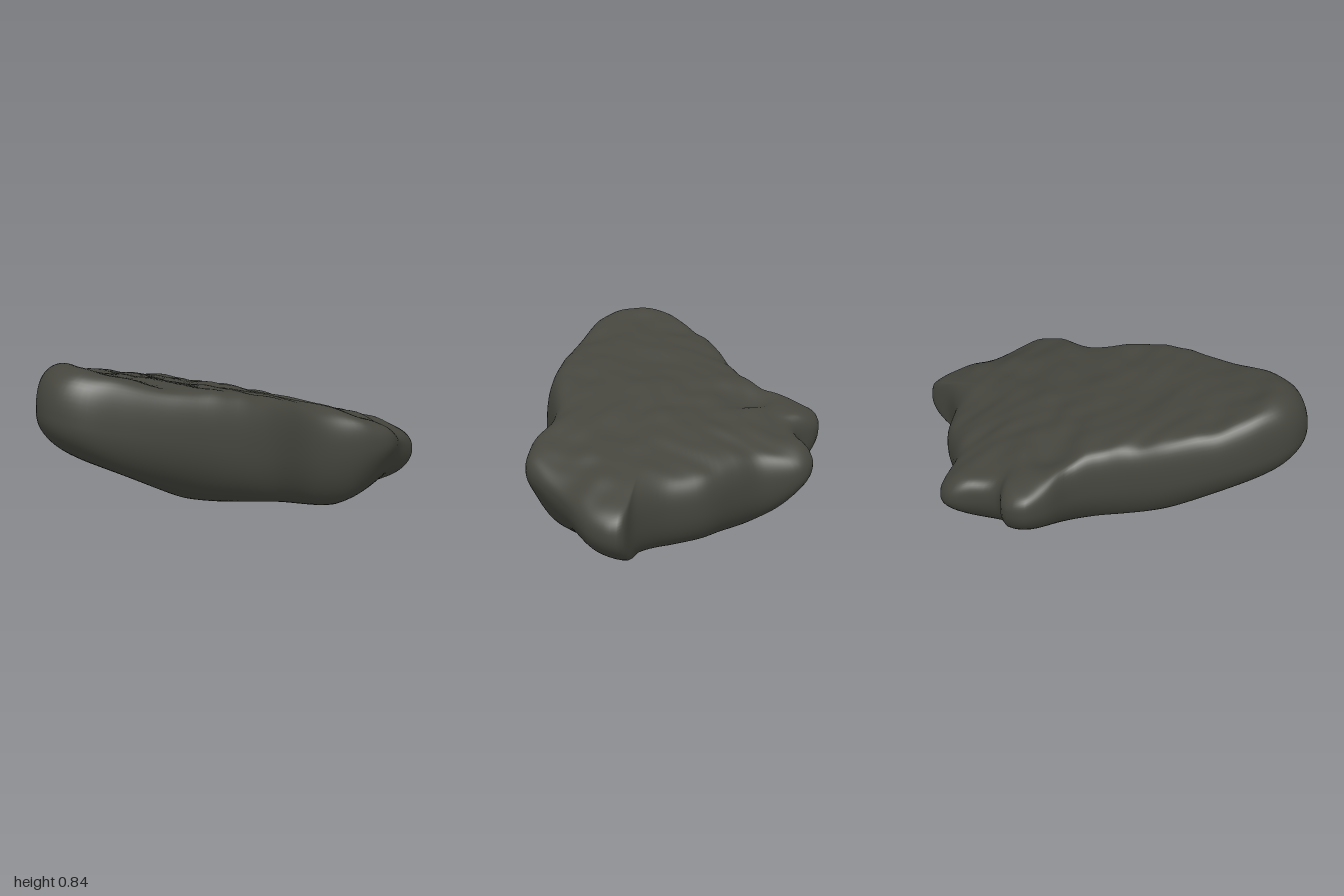
import * as THREE from 'three';

// Rim of the slab: x, height, z, running clockwise seen from above
const RIM = [
  [-1, .63, -.1], [-.95, .63, -.24], [-.8, .6, -.35], [-.6, .56, -.43], [-.4, .51, -.47],
  [-.1, .45, -.495], [.05, .44, -.57], [.15, .44, -.69], [.24, .45, -.745], [.34, .44, -.71],
  [.39, .40, -.59], [.5, .38, -.58], [.62, .36, -.585], [.69, .33, -.52], [.68, .28, -.3],
  [.72, .27, -.18], [.79, .25, -.02], [.81, .24, .2], [.88, .22, .34], [1, .21, .44],
  [.92, .23, .55], [.7, .31, .63], [.55, .36, .71], [.46, .38, .74], [.35, .38, .71],
  [.1, .38, .55], [-.2, .42, .51], [-.5, .5, .36], [-.8, .56, .17], [-.95, .6, .04],
];
// Height profiles: top along x, underside along x, underside rise along z
const TOP = [[-1, .85], [-.86, .84], [-.6, .765], [-.4, .73], [-.2, .68], [0, .64], [.3, .555], [.5, .49], [.8, .39], [1, .33]];
const KEEL = [[-1, .43], [-.9, .39], [-.38, .175], [-.13, .1], [.33, 0], [.67, .03], [.9, .02], [1, .03]];
const RISE = [[-.74, .29], [-.55, .2], [-.4, .1], [-.25, .04], [.14, 0], [.5, .05], [.62, .1], [.74, .26]];

// Smoothed piecewise interpolation through [position, height] pairs
function sample(knots, v) {
  const line = (u) => {
    let i = 0;
    while (i < knots.length - 2 && u > knots[i + 1][0]) i++;
    const [a, b] = [knots[i], knots[i + 1]];
    return THREE.MathUtils.lerp(a[1], b[1], THREE.MathUtils.clamp((u - a[0]) / (b[0] - a[0]), 0, 1));
  };
  return (line(v - .04) + 2 * line(v) + line(v + .04)) / 4;
}

const bump = (x, z, cx, cz, r) => Math.exp(-((x - cx) ** 2 + (z - cz) ** 2) / (r * r));

// Irregular weathering from crossed, bent waves
function weathering(x, z) {
  const u = x + .08 * Math.sin(6 * z + 1), v = z + .08 * Math.sin(7 * x + 2);
  return .008 * Math.sin(10 * u + 3 * v) * Math.sin(9 * v - 4 * u + 1)
    + .006 * Math.sin(21 * u - 6 * v) * Math.sin(13 * v + 5 * u)
    + .004 * Math.sin(31 * u + 11 * v) * Math.cos(23 * v - 8 * u);
}

// Worn top with a raised back corner, lowered front and gullies behind the lobes
function topHeight(x, z) {
  return sample(TOP, x) + weathering(x, z)
    + .03 * bump(x, z, -.82, -.27, .17)
    - .035 * THREE.MathUtils.smoothstep(z, .4, .65)
    - .03 * THREE.MathUtils.smoothstep(-z, .5, .72)
    - .045 * bump(x, z, .15, -.42, .12) - .03 * bump(x, z, .42, -.5, .1);
}

function underHeight(x, z) {
  return sample(KEEL, x) + sample(RISE, z) + .008 * Math.sin(7 * x + 5 * z) * Math.sin(6 * z - 3 * x);
}

export function createModel() {
  const group = new THREE.Group();
  const stone = new THREE.MeshStandardMaterial({ color: 0x45453e });
  stone.name = 'dark stone';

  const around = 180, rows = 72, cx = .2, cz = .03;
  const rim = new THREE.CatmullRomCurve3(RIM.map((p) => new THREE.Vector3(...p)), true).getSpacedPoints(around);
  const positions = [], index = [];

  // Rings run from the top centre out over the blunt rim and back under
  positions.push(cx, topHeight(cx, cz), cz);
  for (let i = 1; i < rows; i++) {
    const s = Math.sin(Math.PI * i / rows), upper = i < rows / 2;
    const fullness = Math.max(0, 1 - s ** (upper ? 17 : 9)) ** .45;
    for (let j = 0; j < around; j++) {
      const e = rim[j];
      const x = cx + (e.x - cx) * s, z = cz + (e.z - cz) * s;
      const face = upper ? topHeight(x, z) : underHeight(x, z);
      positions.push(x, e.y + (face - e.y) * fullness, z);
    }
  }
  positions.push(cx, underHeight(cx, cz), cz);

  const last = 1 + (rows - 1) * around;
  for (let j = 0; j < around; j++) {
    const k = (j + 1) % around;
    index.push(0, 1 + k, 1 + j);
    for (let i = 0; i < rows - 2; i++) {
      const a = 1 + i * around, b = a + around;
      index.push(a + j, b + k, b + j, a + j, a + k, b + k);
    }
    index.push(last, last - around + j, last - around + k);
  }

  const geometry = new THREE.BufferGeometry();
  geometry.setAttribute('position', new THREE.Float32BufferAttribute(positions, 3));
  geometry.setIndex(index);
  geometry.computeBoundingBox();
  geometry.translate(0, -geometry.boundingBox.min.y, 0);
  geometry.computeVertexNormals();

  const slab = new THREE.Mesh(geometry, stone);
  slab.name = 'rockSlab';
  group.add(slab);
  return group;
}
